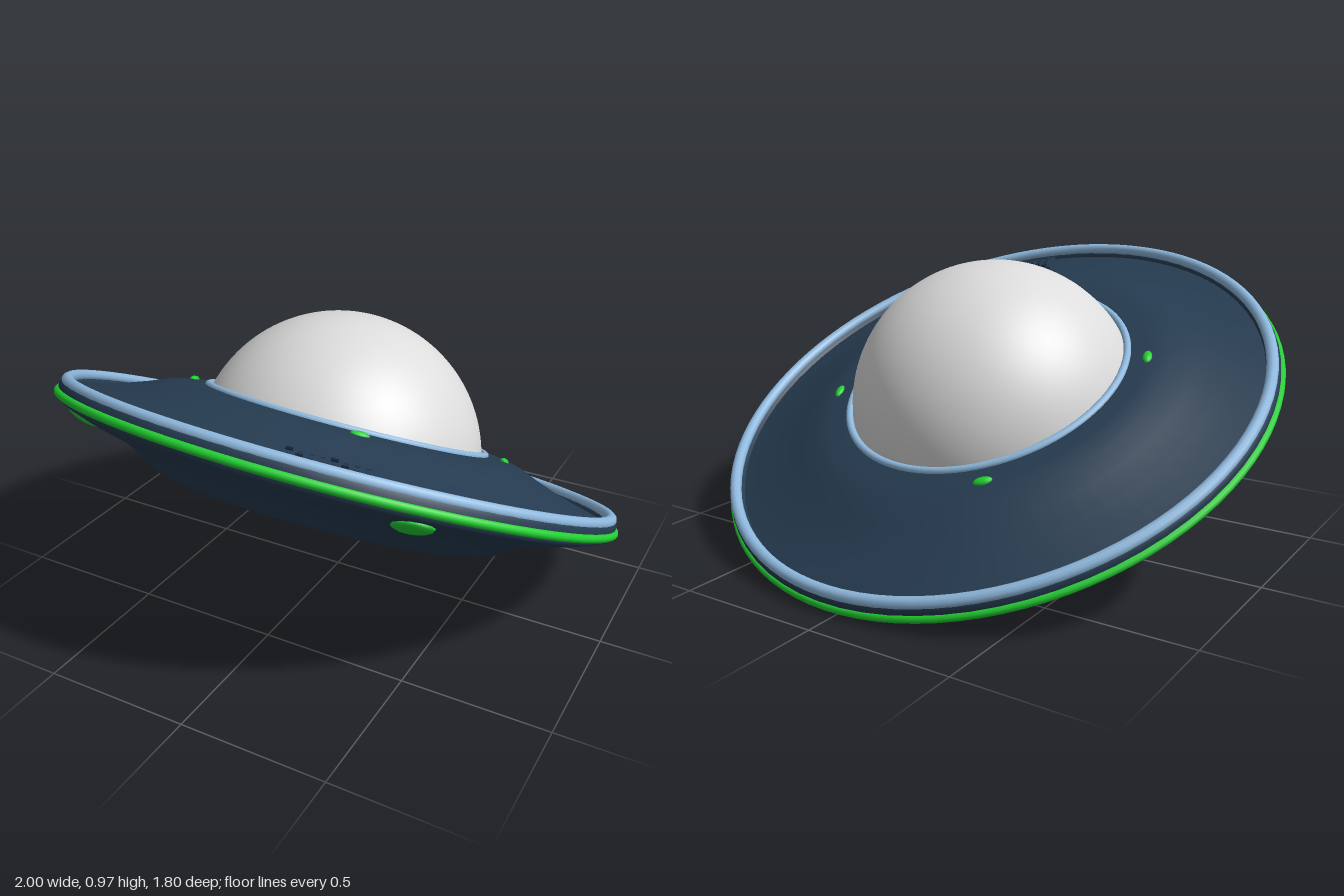
import * as THREE from 'three';

const mat = (name, color, side = THREE.FrontSide) => {
  const m = new THREE.MeshStandardMaterial({ color, side });
  m.name = name;
  return m;
};

export function createModel() {
  const hull = mat('navy hull', 0x263c51);
  const trim = mat('pale blue trim', 0x8fb9de);
  const green = mat('green light', 0x22d032);
  const olive = mat('olive glow', 0x8cb82a);
  const glass = mat('pale grey dome', 0xdcdcdc);
  const keyDark = mat('dark key', 0x14202c);

  const model = new THREE.Group();
  model.name = 'saucer';
  const ship = new THREE.Group();
  ship.name = 'tiltedShip';
  ship.position.y = 0.463;
  ship.rotation.set(-0.46, 0, -0.05, 'ZYX');
  model.add(ship);

  const add = (name, geometry, material, parent = ship) => {
    const mesh = new THREE.Mesh(geometry, material);
    mesh.name = name;
    parent.add(mesh);
    return mesh;
  };
  const lathe = (name, points, material) =>
    add(name, new THREE.LatheGeometry(points.map(p => new THREE.Vector2(...p)), 72), material);
  const ring = (name, radius, tube, y, material) => {
    const mesh = add(name, new THREE.TorusGeometry(radius, tube, 10, 96), material);
    mesh.rotation.x = Math.PI / 2;
    mesh.position.y = y;
  };

  // Hull: profiles run from the underside centre out to the rim and back in over the top
  lathe('hubCeiling', [[0, 0.035], [0.21, 0.035]], hull);
  lathe('hubInnerWall', [[0.21, 0.035], [0.225, -0.09]], hull);
  lathe('hubLip', [[0.225, -0.09], [0.24, -0.095]], hull);
  lathe('hubCone', [[0.24, -0.095], [0.31, -0.05], [0.42, 0.035], [0.46, 0.055]], hull);
  lathe('cavityCeiling', [[0.46, 0.055], [0.615, 0.06]], hull);
  lathe('cavityWall', [[0.615, 0.06], [0.635, -0.17]], hull);
  lathe('cavityLip', [[0.635, -0.17], [0.64, -0.178], [0.652, -0.17]], hull);
  lathe('underside', [[0.652, -0.17], [0.71, -0.13], [0.77, -0.1], [0.82, -0.085],
    [0.9, -0.06], [0.965, -0.035]], hull);
  lathe('rimEdge', [[0.965, -0.035], [0.985, -0.022], [0.988, 0.02], [0.975, 0.038]], hull);
  lathe('rimInnerEdge', [[0.975, 0.038], [0.95, 0.032], [0.94, 0.013]], hull);
  lathe('topDeck', [[0.94, 0.013], [0.87, 0.03], [0.79, 0.054], [0.71, 0.082], [0.64, 0.11],
    [0.575, 0.124], [0.49, 0.128]], hull);

  // Dome, trim rings and glowing core
  add('dome', new THREE.SphereGeometry(0.504, 64, 32, 0, Math.PI * 2, 0, Math.PI * 0.435), glass);
  ring('domeTrim', 0.5, 0.013, 0.128, trim);
  ring('rimTrim', 0.963, 0.02, 0.036, trim);
  ring('rimLight', 0.985, 0.0145, -0.005, green);
  const core = add('coreLight', new THREE.CylinderGeometry(0.14, 0.14, 0.008, 32), olive);
  core.position.y = 0.032;

  // Pivot turned so that its local z points outwards from the ship's axis
  const spoke = (name, degrees) => {
    const g = new THREE.Group();
    g.name = name;
    g.rotation.y = THREE.MathUtils.degToRad(degrees);
    ship.add(g);
    return g;
  };
  const lamp = (name, degrees, y, r, tilt, scale) => {
    const mesh = add(name, new THREE.SphereGeometry(1, 12, 8), green, spoke(name + 'Mount', degrees));
    mesh.position.set(0, y, r);
    mesh.rotation.x = tilt;
    mesh.scale.set(...scale);
  };
  for (let i = 0; i < 4; i++) {
    lamp('undersideLamp', 40 + i * 90, -0.066, 0.885, -0.35, [0.065, 0.02, 0.065]);
    lamp('cavityLamp', 40 + i * 90, -0.07, 0.63, 0, [0.05, 0.085, 0.02]);
  }
  for (const a of [28.5, 107, 208.5, 287]) {
    lamp('deckLamp', a, 0.124, 0.57, 0.2, [0.032, 0.012, 0.016]);
  }

  // Control panel lying on the deck near the rim
  const panel = new THREE.Group();
  panel.name = 'controlPanel';
  panel.position.set(0, 0.036, 0.86);
  panel.rotation.x = 0.27;
  spoke('controlPanelMount', 22).add(panel);
  add('panelPlate', new THREE.BoxGeometry(0.29, 0.009, 0.15), hull, panel);
  for (let row = 0; row < 4; row++) {
    for (let col = 0; col < 8; col++) {
      const big = (row * 3 + col * 5) % 4 === 0;
      const key = add('panelKey', new THREE.BoxGeometry(big ? 0.022 : 0.014, 0.006, big ? 0.02 : 0.013),
        big ? keyDark : hull, panel);
      key.position.set((col - 3.5) * 0.033, 0.005, (row - 1.5) * 0.034);
    }
  }
  return model;
}
